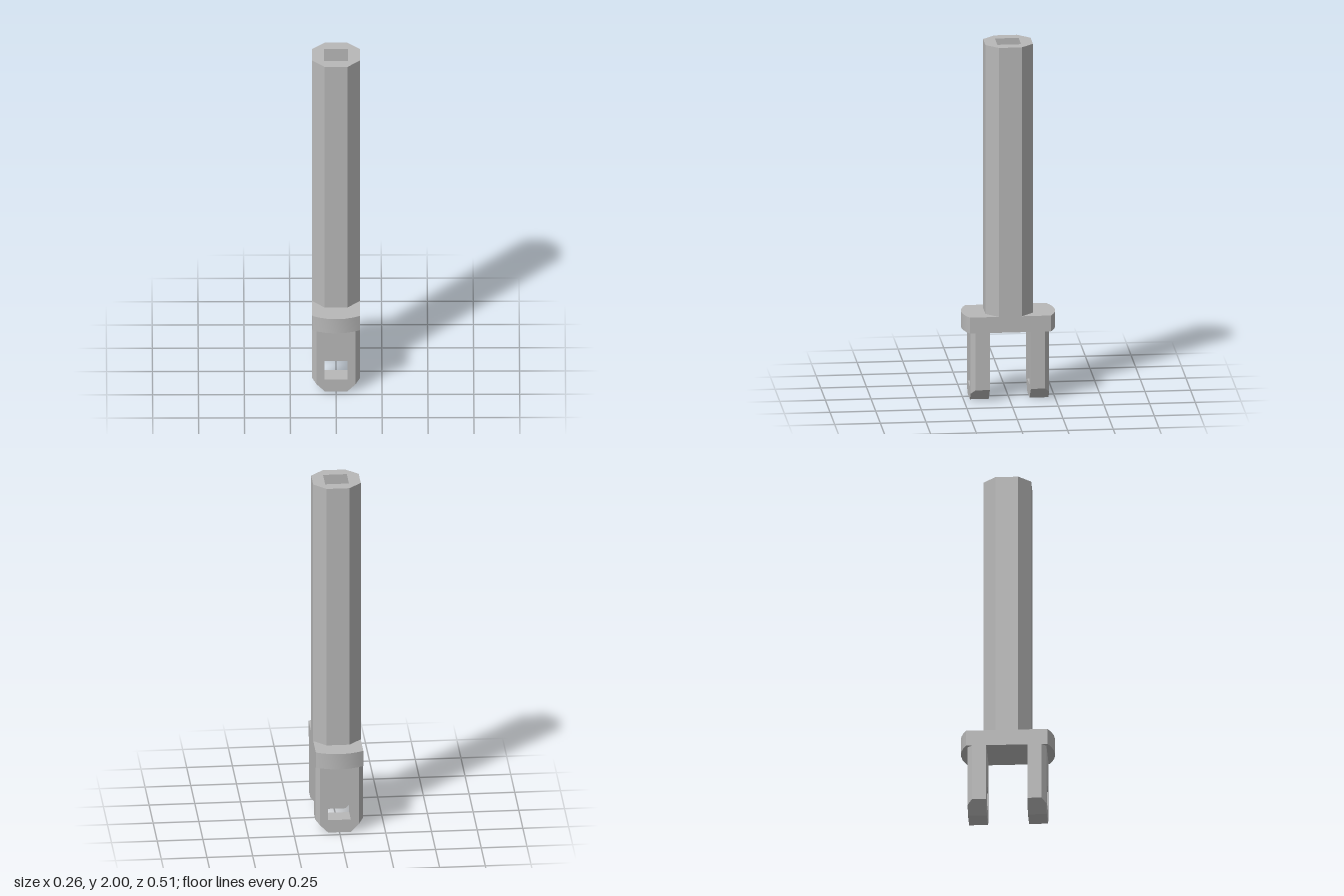
import * as THREE from 'three';
import { toCreasedNormals } from 'three/addons/utils/BufferGeometryUtils.js';

const W = 0.13;          // half width shared by every part
const HOLE = 0.065;      // half width of the square socket
const PLATE_Y = 0.39, SHAFT_Y = 0.48, TOP_Y = 2;

const toPoints = list => list.map(([x, y]) => new THREE.Vector2(x, y));

// Extrude a plan outline upwards from y0 to y1
function extrudeUp(shape, y0, y1) {
  const g = new THREE.ExtrudeGeometry(shape, { depth: y1 - y0, bevelEnabled: false });
  g.rotateX(-Math.PI / 2);
  g.translate(0, y0, 0);
  return g;
}

// Fork prong: front outline with a window, outer side edges chamfered
function prongGeometry() {
  const shape = new THREE.Shape(toPoints([
    [-0.062, 0], [0.062, 0], [W, 0.068], [W, PLATE_Y], [-W, PLATE_Y], [-W, 0.068],
  ]));
  shape.holes.push(new THREE.Path(toPoints([
    [-0.062, 0.073], [-0.062, 0.19], [0.062, 0.19], [0.062, 0.073],
  ])));
  const g = new THREE.ExtrudeGeometry(shape, { depth: 2, steps: 2, bevelEnabled: false });
  const p = g.attributes.position;
  const layers = [0.112, 0.19, 0.215];
  for (let i = 0; i < p.count; i++) {
    const layer = Math.round(p.getZ(i));
    p.setZ(i, layers[layer]);
    if (layer === 2 && Math.abs(p.getX(i)) > 0.12) {
      p.setX(i, Math.sign(p.getX(i)) * 0.106);
      if (p.getY(i) < 0.1) p.setY(i, 0.044);
    }
  }
  g.computeVertexNormals();
  return g;
}

export function createModel() {
  const group = new THREE.Group();
  const grey = new THREE.MeshStandardMaterial({ color: 0xb8b8b8 });
  grey.name = 'plain grey';
  const add = (name, geometry) => {
    const mesh = new THREE.Mesh(geometry, grey);
    mesh.name = name;
    group.add(mesh);
    return mesh;
  };

  // Octagonal shaft with a square socket down its middle
  const c = 0.0625;
  const octagon = new THREE.Shape(toPoints([
    [W, -c], [W, c], [c, W], [-c, W], [-W, c], [-W, -c], [-c, -W], [c, -W],
  ]));
  octagon.holes.push(new THREE.Path(toPoints([
    [-HOLE, -HOLE], [-HOLE, HOLE], [HOLE, HOLE], [HOLE, -HOLE],
  ])));
  add('shaft', extrudeUp(octagon, SHAFT_Y, TOP_Y));

  // Cross plate: a disc cut off straight at both sides
  const R = 0.257, half = Math.asin(W / R);
  const angles = [-half, -Math.PI / 8, -Math.PI / 16, 0, Math.PI / 16, Math.PI / 8, half];
  const arc = angles.map(a => [R * Math.sin(a), -R * Math.cos(a)]);
  const outline = [...arc, ...arc.map(([x, y]) => [-x, -y])];
  const plate = extrudeUp(new THREE.Shape(toPoints(outline)), PLATE_Y, SHAFT_Y);
  add('crossPlate', toCreasedNormals(plate, Math.PI / 9));

  // Two mirrored fork prongs
  const prong = prongGeometry();
  add('frontProng', prong);
  add('backProng', prong).rotation.y = Math.PI;

  return group;
}
